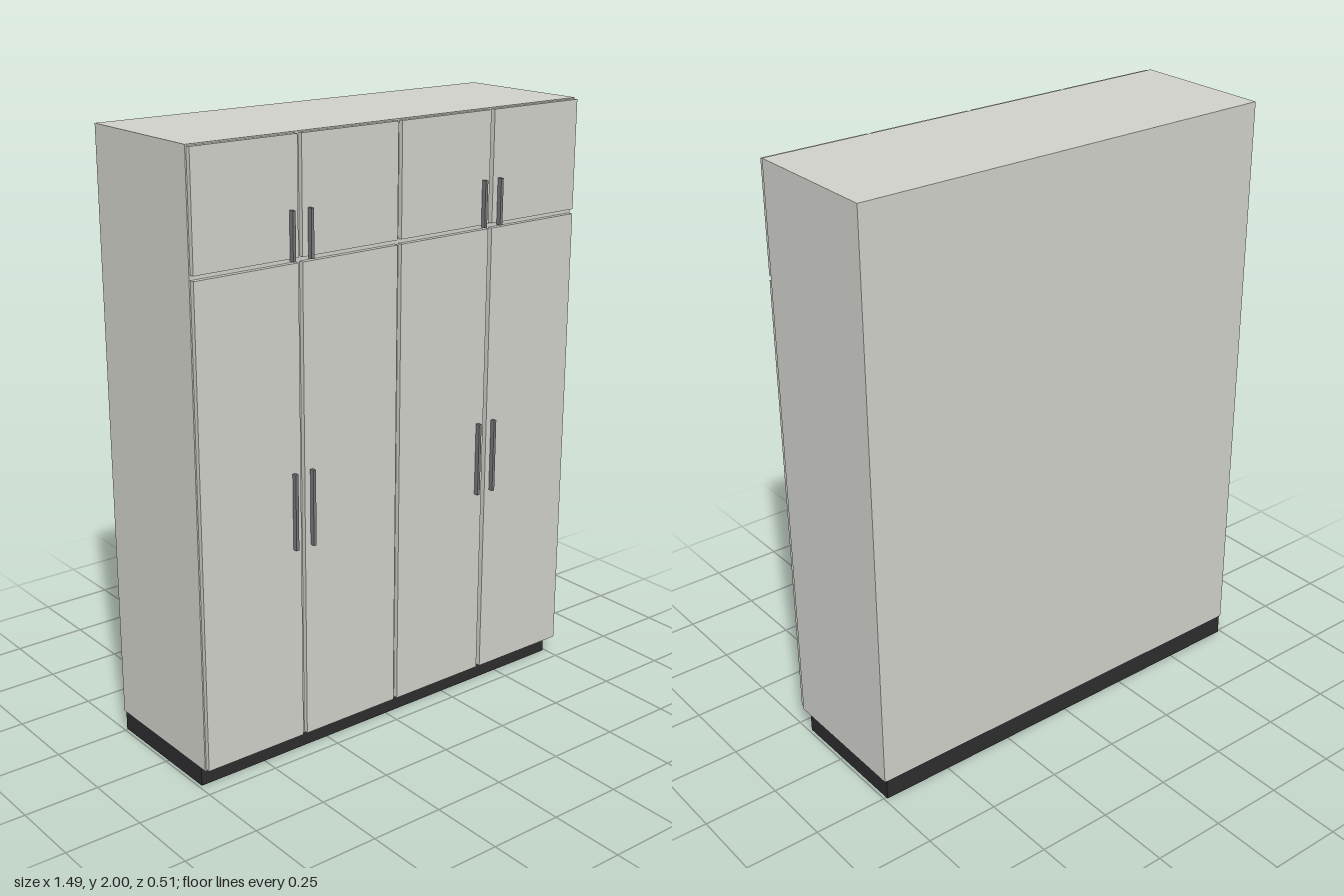
import * as THREE from 'three';

const bodyMat = new THREE.MeshStandardMaterial({ color: 0xd0d0ca });
const plinthMat = new THREE.MeshStandardMaterial({ color: 0x2c2c2e });
const handleMat = new THREE.MeshStandardMaterial({ color: 0x77777a });

// Box given by its minimum and maximum corners
function box(name, mat, [x0, y0, z0], [x1, y1, z1]) {
  const mesh = new THREE.Mesh(new THREE.BoxGeometry(x1 - x0, y1 - y0, z1 - z0), mat);
  mesh.position.set((x0 + x1) / 2, (y0 + y1) / 2, (z0 + z1) / 2);
  mesh.name = name;
  return mesh;
}

export function createModel() {
  const model = new THREE.Group();
  model.name = 'wardrobe';

  // Recessed base and main cabinet
  model.add(box('plinth', plinthMat, [-0.74, 0, -0.257], [0.74, 0.07, 0.192]));
  model.add(box('carcass', bodyMat, [-0.747, 0.07, -0.257], [0.747, 2, 0.225]));

  // Tall lower doors and short upper doors, with their handles
  const rows = [
    { name: 'lower', y: [0.075, 1.622], handle: [0.727, 0.975] },
    { name: 'upper', y: [1.637, 1.996], handle: [1.63, 1.78] },
  ];
  const pitch = 0.3735, gap = 0.0075, back = 0.225, face = 0.241, handleW = 0.005;
  for (const row of rows) {
    for (let i = 0; i < 4; i++) {
      const left = (i - 2) * pitch;
      const x0 = left + (i === 0 ? 0.004 : gap);
      const x1 = left + pitch - (i === 3 ? 0.004 : gap);
      model.add(box(row.name + 'Door', bodyMat, [x0, row.y[0], back], [x1, row.y[1], face]));

      // Handles face each other across each pair of doors
      const hx = i % 2 === 0 ? left + pitch - 0.033 : left + 0.033;
      model.add(box(row.name + 'Handle', handleMat,
        [hx - handleW, row.handle[0], face - 0.002], [hx + handleW, row.handle[1], 0.257]));
    }
  }
  return model;
}
